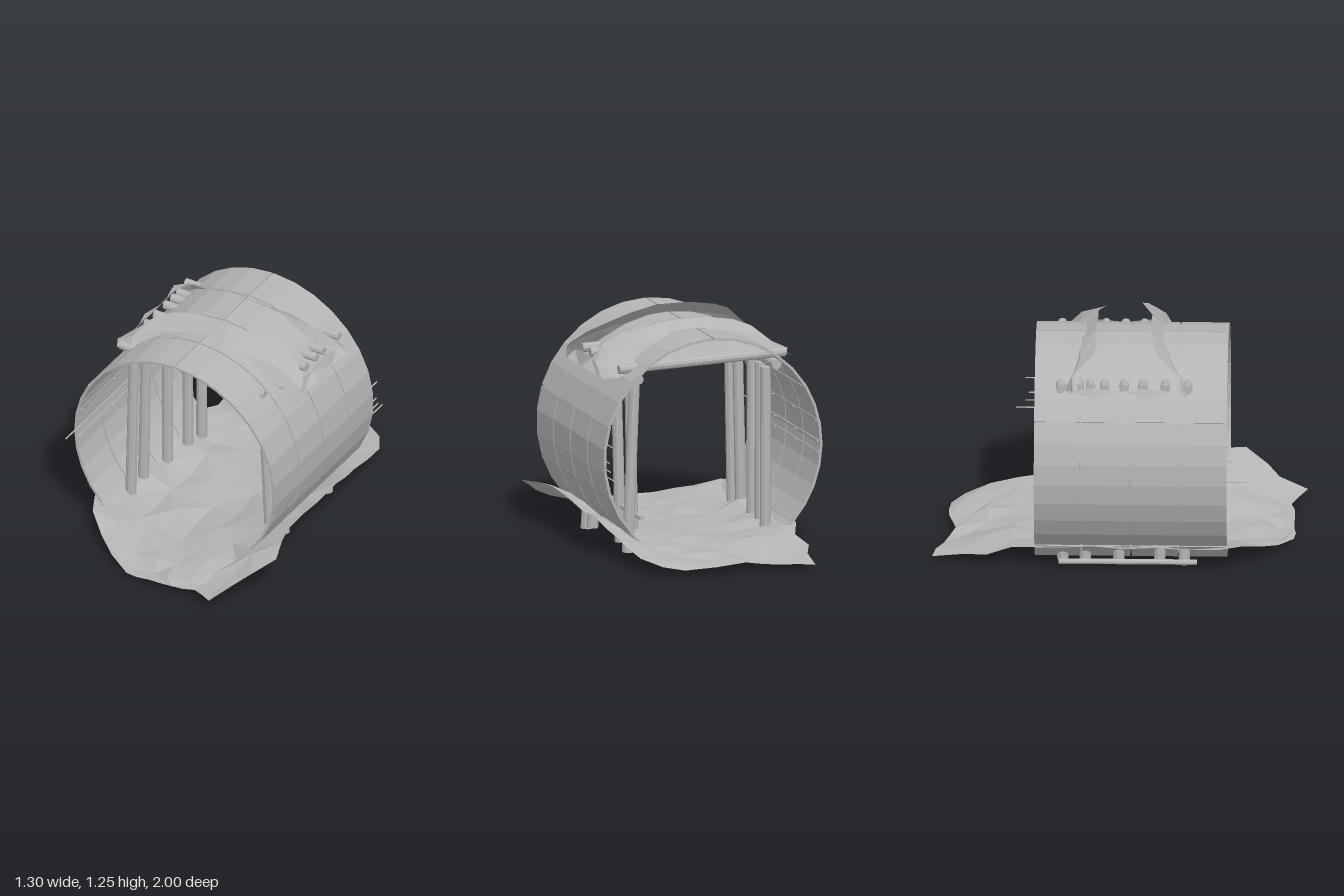
import * as THREE from 'three';

const stone = new THREE.MeshStandardMaterial({ color: 0xb4b4b4, flatShading: true, side: THREE.DoubleSide });
stone.name = 'plain grey';

const CX = -0.03, CY = 0.567, R = 0.625;

function add(parent, name, geo) {
  const m = new THREE.Mesh(geo, stone);
  m.name = name;
  parent.add(m);
  return m;
}

// round bar between two points
function bar(parent, name, a, b, r0, r1 = r0, sides = 10) {
  const A = new THREE.Vector3(...a), B = new THREE.Vector3(...b);
  const d = B.clone().sub(A);
  const m = add(parent, name, new THREE.CylinderGeometry(r1, r0, d.length(), sides));
  m.position.copy(A).add(B).multiplyScalar(0.5);
  m.quaternion.setFromUnitVectors(new THREE.Vector3(0, 1, 0), d.normalize());
  return m;
}

// sheet through rows of points, all rows of equal length
function sheet(rows) {
  const n = rows[0].length, pos = rows.flat(2), idx = [];
  for (let i = 0; i < rows.length - 1; i++) {
    for (let j = 0; j < n - 1; j++) {
      const a = i * n + j, b = a + 1, c = a + n, d = c + 1;
      if ((i + j) % 2) idx.push(a, c, b, b, c, d);
      else idx.push(a, c, d, a, d, b);
    }
  }
  const g = new THREE.BufferGeometry();
  g.setAttribute('position', new THREE.Float32BufferAttribute(pos, 3));
  g.setIndex(idx);
  g.computeVertexNormals();
  return g;
}

function arc(r, from, to, steps) {
  const pts = [];
  for (let i = 0; i <= steps; i++) {
    const t = THREE.MathUtils.degToRad(from + (to - from) * i / steps);
    pts.push([CX + r * Math.cos(t), CY + r * Math.sin(t)]);
  }
  return pts;
}

// curved plate between two profiles, running along z
function plate(outer, inner, z0, z1) {
  const s = new THREE.Shape([...outer, ...inner.slice().reverse()].map(p => new THREE.Vector2(...p)));
  const g = new THREE.ExtrudeGeometry(s, { depth: z1 - z0, bevelEnabled: false });
  g.translate(0, 0, z0);
  return g;
}

function buildShell() {
  const g = new THREE.Group();
  g.name = 'tunnelShell';
  const zs = [-0.45, -0.2, 0.065, 0.32, 0.58];
  const angles = [-43, 18, 90, 149, 223];
  const gap = 0.004, gapDeg = 0.35;
  for (let k = 0; k < zs.length - 1; k++) {
    const z0 = zs[k] + (k ? gap : 0), z1 = zs[k + 1] - (k < 3 ? gap : 0);
    for (let i = 0; i < angles.length - 1; i++) {
      const a = angles[i] + gapDeg, b = angles[i + 1] - gapDeg;
      const n = Math.round((b - a) / 11.25);
      add(g, 'wallPanel', plate(arc(R, a, b, n), arc(R - 0.014, a, b, n), z0, z1));
    }
    // flat bottom with sloping sides and a shallow ridge
    const floor = [[-0.485, 0.135], [-0.37, 0.03], [-0.1, 0.03], [-0.07, 0.042], [0.02, 0.042], [0.05, 0.03], [0.31, 0.03], [0.425, 0.135]];
    add(g, 'floorPanel', plate(floor, floor.map(p => [p[0] * 0.99, p[1] + 0.012]), z0, z1));
  }
  // liner behind the panel seams
  const line = z => arc(R - 0.007, -43, 223, 24).map(p => [...p, z]);
  add(g, 'seamLiner', sheet([line(-0.448), line(0.578)]));
  return g;
}

function buildGround() {
  let seed = 7;
  const rnd = () => ((seed = (seed * 16807) % 2147483647) / 2147483647) - 0.5;
  // z, left x, right x, then heights from left to right
  const rows = [
    [-0.93, -0.41, 0.30, 0.04, 0.04, 0.05, 0.05, 0.04],
    [-0.83, -0.43, 0.40, 0.06, 0.06, 0.05, 0.06, 0.05],
    [-0.70, -0.48, 0.48, 0.08, 0.09, 0.07, 0.08, 0.08],
    [-0.57, -0.45, 0.50, 0.11, 0.10, 0.08, 0.10, 0.11],
    [-0.43, -0.51, 0.50, 0.14, 0.11, 0.08, 0.11, 0.13],
    [-0.30, -0.54, 0.52, 0.15, 0.09, 0.08, 0.11, 0.16],
    [-0.15, -0.55, 0.54, 0.16, 0.09, 0.07, 0.11, 0.20],
    [0.02, -0.56, 0.53, 0.15, 0.08, 0.07, 0.11, 0.18],
    [0.20, -0.56, 0.55, 0.16, 0.09, 0.08, 0.12, 0.22],
    [0.38, -0.57, 0.57, 0.15, 0.08, 0.07, 0.13, 0.24],
    [0.52, -0.55, 0.60, 0.15, 0.07, 0.06, 0.13, 0.24],
    [0.64, -0.49, 0.65, 0.14, 0.06, 0.06, 0.12, 0.23],
    [0.76, -0.37, 0.56, 0.09, 0.05, 0.05, 0.09, 0.17],
    [0.86, -0.26, 0.50, 0.05, 0.03, 0.05, 0.07, 0.12],
    [0.93, -0.12, 0.43, 0.03, 0.03, 0.04, 0.05, 0.08],
  ];
  const backEdge = [-0.07, -0.05, -0.01, 0.02, 0.05, 0.03, 0.01, 0.01, 0.02];
  const frontEdge = [0, 0.01, 0, 0, 0, 0, -0.02, 0.02, 0.065];
  const last = rows.length - 1;
  return sheet(rows.map(([z, x0, x1, ...h], i) => {
    const out = [];
    for (let j = 0; j <= 8; j++) {
      const f = j / 2, k = Math.min(3, Math.floor(f));
      const edge = j % 8 === 0 || i === 0 || i === last;
      const y = h[k] + (h[k + 1] - h[k]) * (f - k) + rnd() * (edge ? 0.008 : 0.035);
      const dz = i === 0 ? backEdge[j] : i === last ? frontEdge[j] : rnd() * 0.05;
      out.push([x0 + (x1 - x0) * j / 8 + (edge ? 0 : rnd() * 0.05), y, z + dz]);
    }
    return out;
  }));
}

// rocky collar rising through the roof
function buildCollar() {
  const g = new THREE.Group();
  g.name = 'roofCollar';
  const xs = [-0.52, -0.43, -0.36, -0.27, -0.12, 0.06, 0.22, 0.36, 0.47, 0.54];
  const top = [1.05, 1.13, 1.19, 1.225, 1.252, 1.25, 1.228, 1.19, 1.14, 1.08];
  const low = [1.02, 1.03, 1.04, 1.05, 1.05, 1.04, 1.03, 1.02, 0.985, 0.975];
  const sides = [
    ['frontCollar', 0, [0.3, 0.27, 0.21, 0.18, 0.16, 0.17, 0.13, 0.11, 0.14, 0.19], [0.36, 0.38, 0.35, 0.33, 0.32, 0.33, 0.31, 0.29, 0.29, 0.27]],
    ['backCollar', -0.02, [-0.23, -0.2, -0.16, -0.12, -0.13, -0.12, -0.12, -0.08, -0.09, -0.13], [-0.26, -0.29, -0.27, -0.28, -0.29, -0.28, -0.3, -0.31, -0.32, -0.28]],
  ];
  for (const [name, dy, zt, zl] of sides) {
    const upper = xs.map((x, i) => [x, top[i] + dy, zt[i]]);
    const mid = xs.map((x, i) => [x * 1.02, top[i] * 0.5 + low[i] * 0.5 + 0.02, zt[i] * 0.45 + zl[i] * 0.55]);
    const lower = xs.map((x, i) => [x, low[i], zl[i]]);
    add(g, name, sheet([upper, mid, lower]));
  }
  // narrow ledges joining the two halves at each side
  for (const [x0, x1, y0, y1] of [[-0.5, -0.55, 1.045, 1.02], [0.49, 0.54, 1.02, 0.975]]) {
    const zs = [-0.27, -0.14, 0.02, 0.14, 0.28];
    add(g, 'sideLedge', sheet([
      zs.map((z, i) => [x0, y0 + 0.015 * (i % 2), z]),
      zs.map((z, i) => [x1 - Math.sign(x1) * 0.025 * (i % 2), y1 - 0.01 * (i % 2), z]),
    ]));
  }
  return g;
}

function buildTimber() {
  const g = new THREE.Group();
  g.name = 'timberSupports';
  // leaning posts: foot x, foot y, top x, z
  const left = [[-0.44, 0.02, -0.42, 0.35], [-0.44, 0.03, -0.42, 0.22], [-0.42, 0.03, -0.42, 0.0], [-0.4, 0.02, -0.4, -0.18], [-0.385, 0.02, -0.385, -0.3]];
  const right = [[0.41, 0.02, 0.36, 0.31], [0.42, 0.05, 0.36, 0.19], [0.32, 0.0, 0.345, 0.03], [0.33, 0.0, 0.35, -0.19], [0.4, 0.02, 0.36, -0.295]];
  for (const [x, y, tx, z] of left) bar(g, 'leftPost', [x, y, z], [tx, 0.975, z], 0.031, 0.028);
  for (const [x, y, tx, z] of right) bar(g, 'rightPost', [x, y, z], [tx, 0.955, z], 0.031, 0.028);
  // lengthwise beams on the posts
  bar(g, 'leftBeam', [-0.42, 1.0, -0.38], [-0.42, 1.0, 0.42], 0.028);
  bar(g, 'rightBeam', [0.36, 0.975, -0.36], [0.36, 0.975, 0.38], 0.028);
  // cross logs
  for (const z of [-0.31, -0.21, -0.15, -0.075, 0.03, 0.13, 0.25, 0.37]) {
    const long = z < 0.3 ? 0.46 : 0.4;
    bar(g, 'crossLog', [-0.49 + (Math.abs(z) < 0.28 ? 0.01 : 0), 1.05, z], [long, 1.03, z - 0.01], 0.025);
  }
  // ground rail
  bar(g, 'groundRail', [-0.47, 0.04, -0.32], [-0.47, 0.04, 0.42], 0.015);
  bar(g, 'innerRail', [0.32, 0.2, -0.3], [0.32, 0.2, 0.15], 0.014);
  return g;
}

function buildCables() {
  const g = new THREE.Group();
  g.name = 'wallCables';
  const runs = [
    [0.573, 0.655, -0.52, 0.57], [0.582, 0.565, -0.5, 0.57], [0.582, 0.52, -0.52, 0.57],
    [0.578, 0.48, -0.57, 0.57], [0.565, 0.42, -0.46, 0.57],
    [-0.625, 0.7, -0.44, 0.59], [-0.636, 0.58, -0.44, 0.7], [-0.636, 0.52, -0.44, 0.59],
  ];
  for (const [x, y, z0, z1] of runs) {
    bar(g, 'cable', [x, y, z0], [x, y, z1], 0.004, 0.004, 6);
    // small hooks along the wall
    for (const z of [-0.44, -0.1, 0.22, 0.56]) {
      add(g, 'hook', new THREE.BoxGeometry(0.022, 0.006, 0.012)).position.set(x, y - 0.006, z);
    }
  }
  return g;
}

export function createModel() {
  const model = new THREE.Group();
  model.name = 'tunnelSection';
  model.add(buildShell(), buildTimber(), buildCollar(), buildCables());
  add(model, 'ground', buildGround());
  return model;
}
